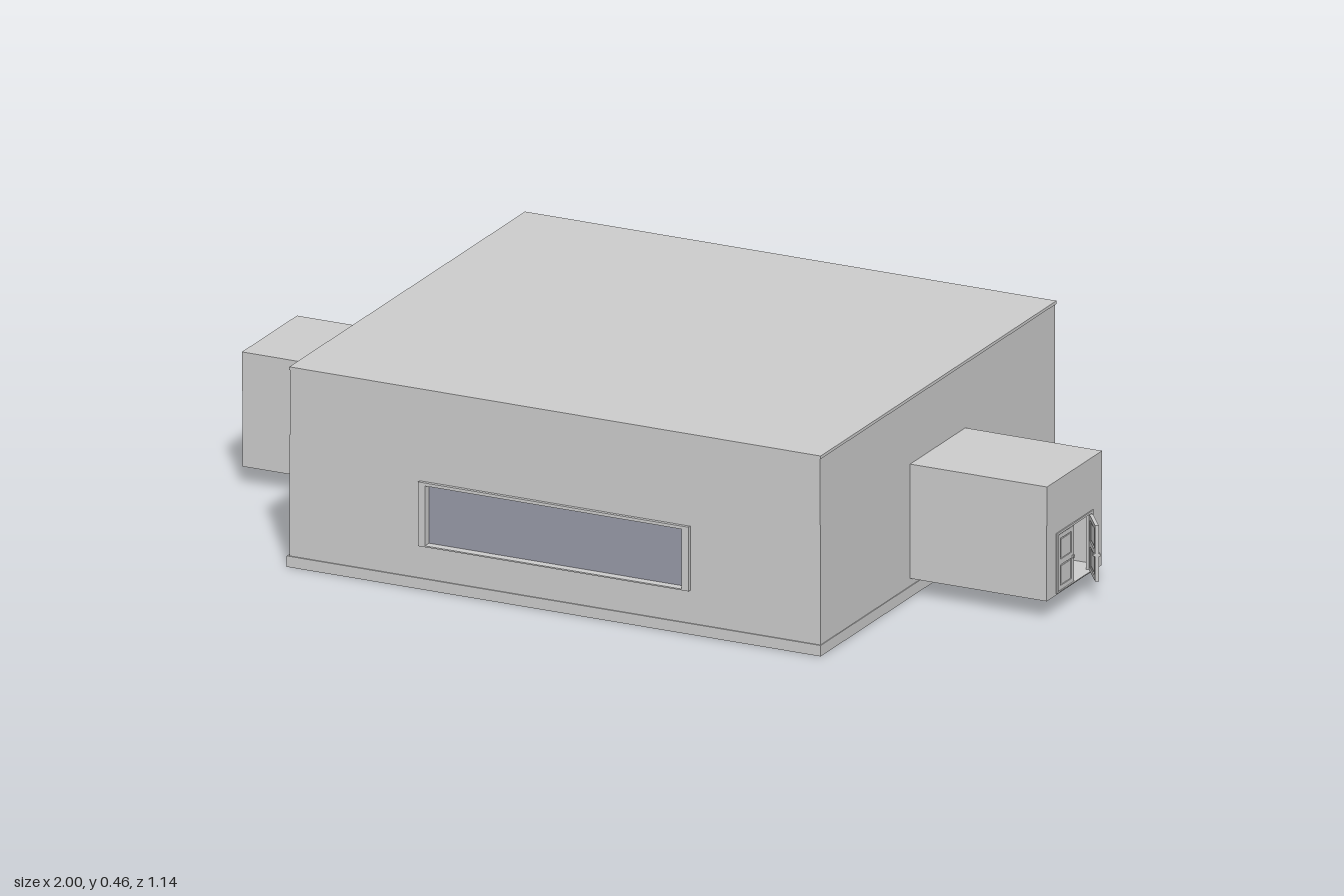
import * as THREE from 'three';

const grey = new THREE.MeshStandardMaterial({ color: 0xcccccc });
const glassMat = new THREE.MeshStandardMaterial({ color: 0x9799a7 });

// box given by its min and max corners
function box(parent, name, [x0, y0, z0], [x1, y1, z1], mat = grey) {
  const mesh = new THREE.Mesh(new THREE.BoxGeometry(x1 - x0, y1 - y0, z1 - z0), mat);
  mesh.position.set((x0 + x1) / 2, (y0 + y1) / 2, (z0 + z1) / 2);
  mesh.name = name;
  parent.add(mesh);
  return mesh;
}

function rectPoints([x0, y0, x1, y1]) {
  return [[x0, y0], [x1, y0], [x1, y1], [x0, y1]].map(([x, y]) => new THREE.Vector2(x, y));
}

// upright slab facing +z with rectangular holes, its back at z
function slab(parent, name, outer, holes, z, depth) {
  const shape = new THREE.Shape(rectPoints(outer));
  holes.forEach(h => shape.holes.push(new THREE.Path(rectPoints(h))));
  const mesh = new THREE.Mesh(new THREE.ExtrudeGeometry(shape, { depth, bevelEnabled: false }), grey);
  mesh.position.z = z;
  mesh.name = name;
  parent.add(mesh);
  return mesh;
}

// panelled door leaf, hinged at its local origin and reaching towards side * x
function doorLeaf(side) {
  const leaf = new THREE.Group();
  leaf.name = 'doorLeaf';
  const w = 0.078, span = (a, b) => (side > 0 ? [a, b] : [-b, -a]);
  const rect = (a, y0, b, y1) => { const [p, q] = span(a, b); return [p, y0, q, y1]; };
  const panels = [rect(0.013, 0.058, 0.065, 0.105), rect(0.013, 0.118, 0.065, 0.166)];
  slab(leaf, 'leafFrame', rect(0, 0.048, w, 0.176), panels, -0.004, 0.008);
  panels.forEach(([x0, y0, x1, y1]) => {
    box(leaf, 'leafPanel', [x0, y0, -0.0015], [x1, y1, 0.0015]);
    box(leaf, 'raisedField', [x0 + 0.004, y0 + 0.004, -0.0025], [x1 - 0.004, y1 - 0.004, 0.0025]);
  });
  // handles on both faces
  const [h0, h1] = span(0.068, 0.075);
  box(leaf, 'handle', [h0, 0.104, -0.008], [h1, 0.11, 0.008]);
  return leaf;
}

// entrance porch: runs outwards along +z from 0 to length
function porch(length, openAngle) {
  const g = new THREE.Group();
  const w = 0.132, t = 0.012, y0 = 0.042, y1 = 0.304;
  box(g, 'porchFloor', [-w, y0, 0], [w, y0 + 0.005, length - t]);
  box(g, 'porchRoof', [-w, y1 - t, 0], [w, y1, length - t]);
  for (const s of [-1, 1])
    box(g, 'porchSide', [s > 0 ? w - t : -w, y0 + 0.005, 0], [s > 0 ? w : -w + t, y1 - t, length - t]);
  slab(g, 'porchFront', [-w, y0, w, y1], [[-0.083, 0.047, 0.083, 0.179]], length - t, t);
  box(g, 'header', [-w, 0.215, length - t], [w, y1, length + 0.001]);
  slab(g, 'doorFrame', [-0.088, 0.045, 0.088, 0.183], [[-0.08, 0.047, 0.08, 0.178]], length - t, t + 0.003);

  const fixed = doorLeaf(1);
  fixed.position.set(-0.08, 0, length - 0.003);
  const swinging = doorLeaf(-1);
  swinging.position.set(0.08, 0, length - 0.003 + (openAngle ? 0.003 : 0));
  swinging.rotation.y = openAngle;
  g.add(fixed, swinging);
  return g;
}

// long wall with a framed strip window, facing +z
function windowWall() {
  const g = new THREE.Group();
  const x0 = -0.35, x1 = 0.305, y0 = 0.1, y1 = 0.247;
  slab(g, 'longWall', [-0.665, 0.02, 0.62, 0.302], [[x0, y0, x1, y1]], 0.53, 0.032);
  slab(g, 'windowFrame', [x0, y0, x1, y1], [[x0 + 0.017, y0 + 0.003, x1 - 0.017, y1 - 0.007]], 0.535, 0.035);
  box(g, 'windowGlass', [x0 + 0.017, y0 + 0.003, 0.545], [x1 - 0.017, y1 - 0.007, 0.55], glassMat);
  return g;
}

export function createModel() {
  const model = new THREE.Group();
  model.name = 'building';

  // floor and roof block
  box(model, 'floorSlab', [-0.67, 0, -0.565], [0.622, 0.025, 0.565]);
  box(model, 'roofBlock', [-0.663, 0.3, -0.563], [0.62, 0.452, 0.563]);
  box(model, 'roofCap', [-0.664, 0.452, -0.565], [0.622, 0.459, 0.565]);

  // long walls with windows, front and its mirror at the back
  const front = windowWall();
  front.name = 'frontWall';
  const back = windowWall();
  back.name = 'backWall';
  // half turn about the centre of the walls, which lies at x = -0.0225
  back.rotation.y = Math.PI;
  back.position.x = -0.045;
  model.add(front, back);

  // end walls with passages, and a porch on each
  for (const s of [1, -1]) {
    const end = new THREE.Group();
    end.name = s > 0 ? 'leftEnd' : 'rightEnd';
    const wallX = s > 0 ? 0.62 : 0.667;
    slab(end, 'endWall', [-0.53, 0.02, 0.53, 0.302], [[-0.12, 0.047, 0.12, 0.285]], -0.03, 0.03);
    const p = porch(s > 0 ? 0.33 : 0.329, s > 0 ? 0.64 : 0);
    p.name = 'porch';
    end.add(p);
    end.rotation.y = s * Math.PI / 2;
    end.position.x = s * wallX;
    model.add(end);
  }
  return model;
}
